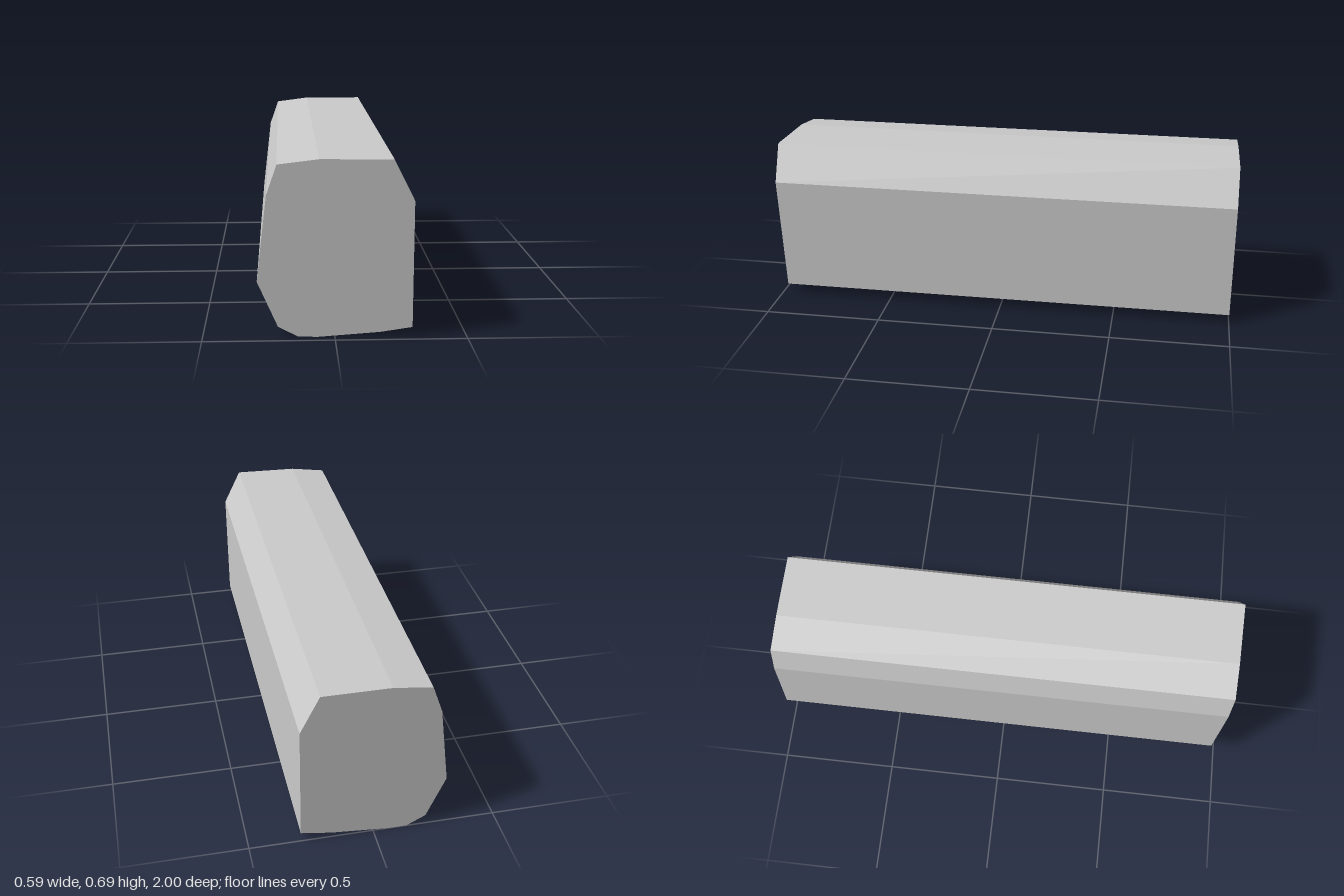
import * as THREE from 'three';

// Irregular cross-section of the beam, counter-clockwise seen from the front
const PROFILE = [
  [-0.138, 0], [-0.06, 0], [0.17, 0.02], [0.293, 0.04], [0.293, 0.53], [0.215, 0.686],
  [-0.06, 0.686], [-0.215, 0.666], [-0.255, 0.55], [-0.293, 0.217], [-0.215, 0.04],
];

// The front end is cut on a slight slant, falling back to the low right corner
const frontZ = (x, y) => Math.min(1, 1 - 0.045 * (0.215 - x) - 0.042 * (0.686 - y));

export function createModel() {
  const group = new THREE.Group();
  group.name = 'hewnBeam';

  const shape = new THREE.Shape(PROFILE.map(([x, y]) => new THREE.Vector2(x, y)));
  const geometry = new THREE.ExtrudeGeometry(shape, { depth: 2, bevelEnabled: false });
  geometry.translate(0, 0, -1);

  const pos = geometry.attributes.position;
  for (let i = 0; i < pos.count; i++) {
    if (pos.getZ(i) > 0) pos.setZ(i, frontZ(pos.getX(i), pos.getY(i)));
  }
  geometry.computeVertexNormals();

  const beam = new THREE.Mesh(
    geometry,
    new THREE.MeshStandardMaterial({ color: 0xcccccc, flatShading: true })
  );
  beam.name = 'beam';
  group.add(beam);
  return group;
}
